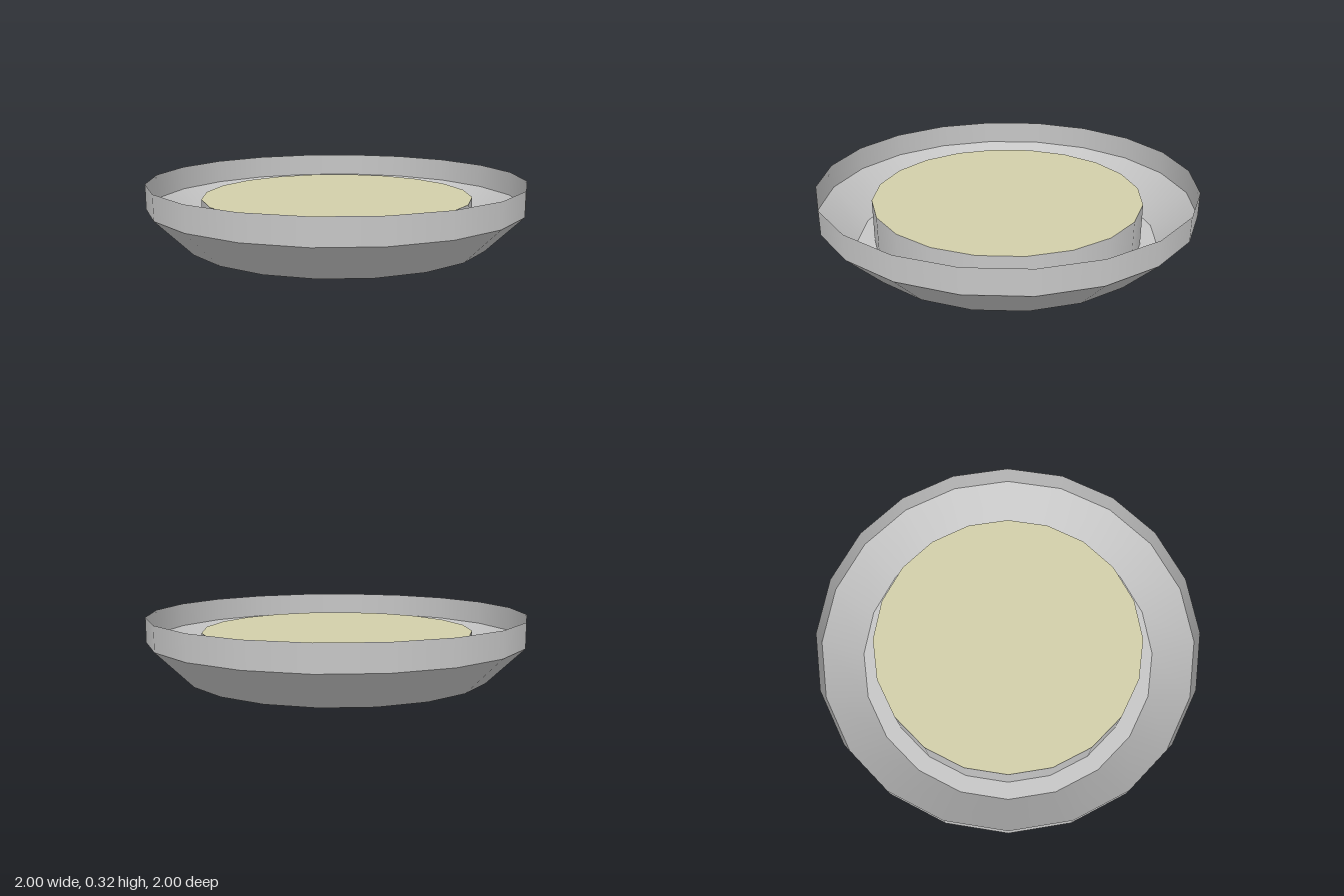
import * as THREE from 'three';

const SIDES = 20;

export function createModel() {
  const model = new THREE.Group();
  model.name = 'roundDish';

  const grey = new THREE.MeshStandardMaterial({ color: 0xc6c6c6, side: THREE.DoubleSide });
  grey.name = 'light grey';
  const khaki = new THREE.MeshStandardMaterial({ color: 0xd2cfaa, side: THREE.DoubleSide });
  khaki.name = 'pale khaki';

  // One smooth band of revolution; separate bands keep the edges between them sharp
  const band = (name, r0, y0, r1, y1) => {
    const profile = [new THREE.Vector2(r0, y0), new THREE.Vector2(r1, y1)];
    const mesh = new THREE.Mesh(new THREE.LatheGeometry(profile, SIDES), grey);
    mesh.name = name;
    model.add(mesh);
  };

  // Thin open shell, from the inner collar out to the rim
  band('innerCollar', 0.72, 0.23, 0.72, 0);
  band('baseRing', 0.72, 0, 0.81, 0);
  band('slopedWall', 0.81, 0, 1, 0.19);
  band('uprightRim', 1, 0.19, 1, 0.32);

  // Flat panel closing the top of the collar
  const panel = new THREE.Mesh(new THREE.CircleGeometry(0.72, SIDES).rotateX(-Math.PI / 2), khaki);
  panel.name = 'centrePanel';
  panel.position.y = 0.23;
  model.add(panel);

  return model;
}
